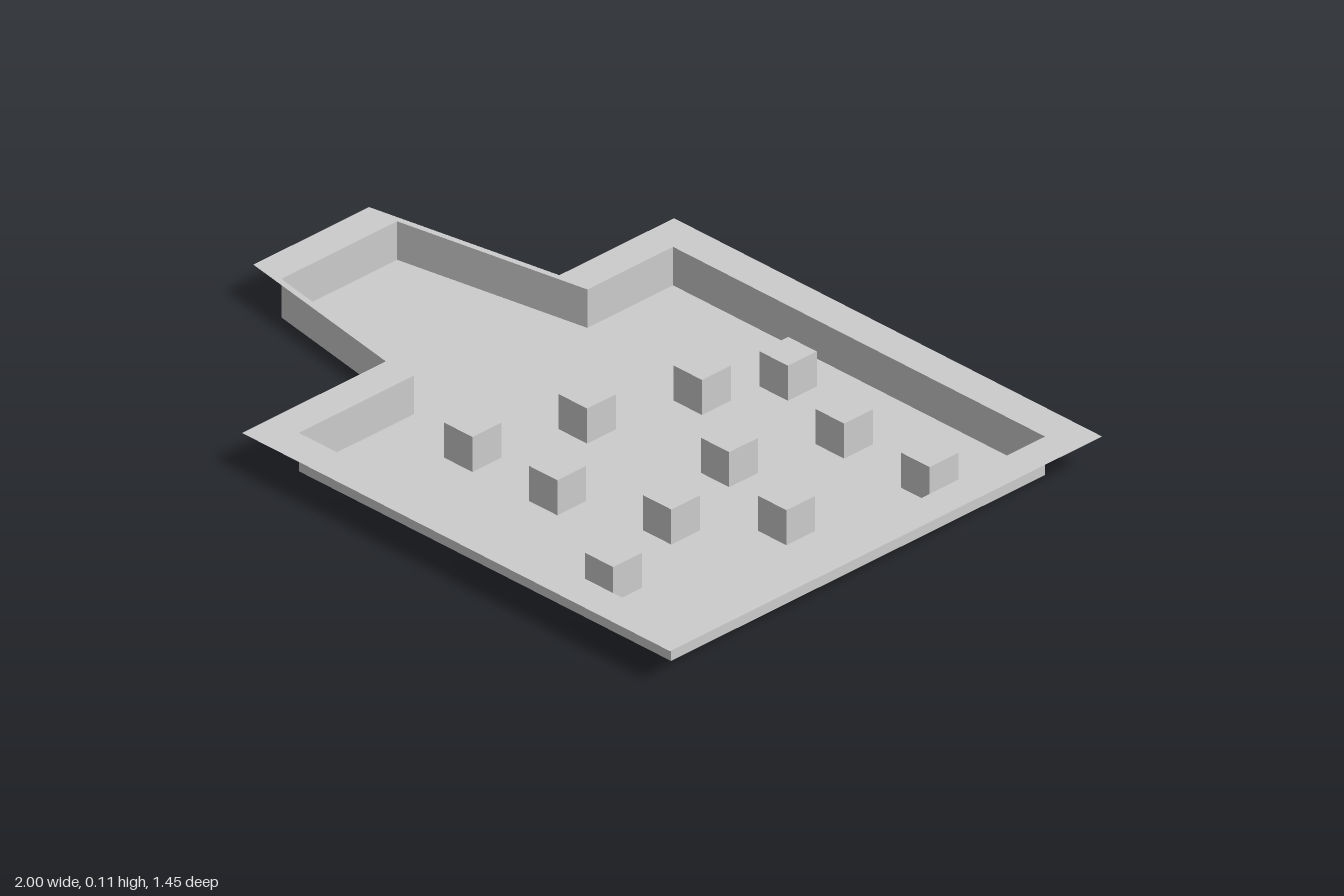
import * as THREE from 'three';

const H = 0.106;        // depth of the pit
const S = 0.0966;       // side of a block
const MAT = new THREE.MeshStandardMaterial({ color: 0xcccccc, flatShading: true, side: THREE.DoubleSide });

// Outlines as [x, z]: a square bay with a tapering channel on one side
const INNER = [[0.905, -0.628], [0.905, 0.625], [-0.357, 0.625], [-0.357, 0.24],
  [-0.905, 0.143], [-0.905, -0.245], [-0.357, -0.341], [-0.357, -0.628]];
const OUTER = [[1, -0.725], [1, 0.722], [-0.452, 0.722], [-0.452, 0.24],
  [-1, 0.143], [-1, -0.245], [-0.452, -0.341], [-0.452, -0.725]];

// Block centres as [x, z]
const BLOCKS = [[0.176, -0.487], [0.465, -0.39], [0.755, -0.39], [0.08, -0.294], [0.369, -0.1],
  [-0.016, -0.004], [0.66, -0.004], [0.465, 0.189], [-0.112, 0.285], [0.176, 0.285], [0.562, 0.479]];

const square = ([x, z]) => [[1, -1], [1, 1], [-1, 1], [-1, -1]].map(([a, b]) => [x + a * S / 2, z + b * S / 2]);
const toPoints = (outline) => outline.map(([x, z]) => new THREE.Vector2(x, -z));

// Flat horizontal sheet with optional holes
function sheet(outline, holes, y) {
  const shape = new THREE.Shape(toPoints(outline));
  holes.forEach((h) => shape.holes.push(new THREE.Path(toPoints(h))));
  return new THREE.ShapeGeometry(shape).rotateX(-Math.PI / 2).translate(0, y, 0);
}

// Closed band of upright walls along an outline
function band(outline, height) {
  const pos = [];
  outline.forEach(([x, z], i) => {
    const [u, w] = outline[(i + 1) % outline.length];
    pos.push(x, 0, z, x, height, z, u, height, w, x, 0, z, u, height, w, u, 0, w);
  });
  const geo = new THREE.BufferGeometry();
  geo.setAttribute('position', new THREE.Float32BufferAttribute(pos, 3));
  geo.computeVertexNormals();
  return geo;
}

function add(parent, name, geometry) {
  const mesh = new THREE.Mesh(geometry, MAT);
  mesh.name = name;
  parent.add(mesh);
}

export function createModel() {
  const model = new THREE.Group();
  model.name = 'pit';

  // Pit floor (open under each block), walls and surrounding rim
  add(model, 'floor', sheet(INNER, BLOCKS.map(square), 0));
  add(model, 'walls', band(INNER, H));
  add(model, 'rim', sheet(OUTER, [INNER], H));

  // Hollow blocks standing on the floor
  BLOCKS.forEach((centre, i) => {
    const block = new THREE.Group();
    block.name = `block${i + 1}`;
    add(block, 'blockSides', band(square(centre), S));
    add(block, 'blockTop', sheet(square(centre), [], S));
    model.add(block);
  });
  return model;
}
